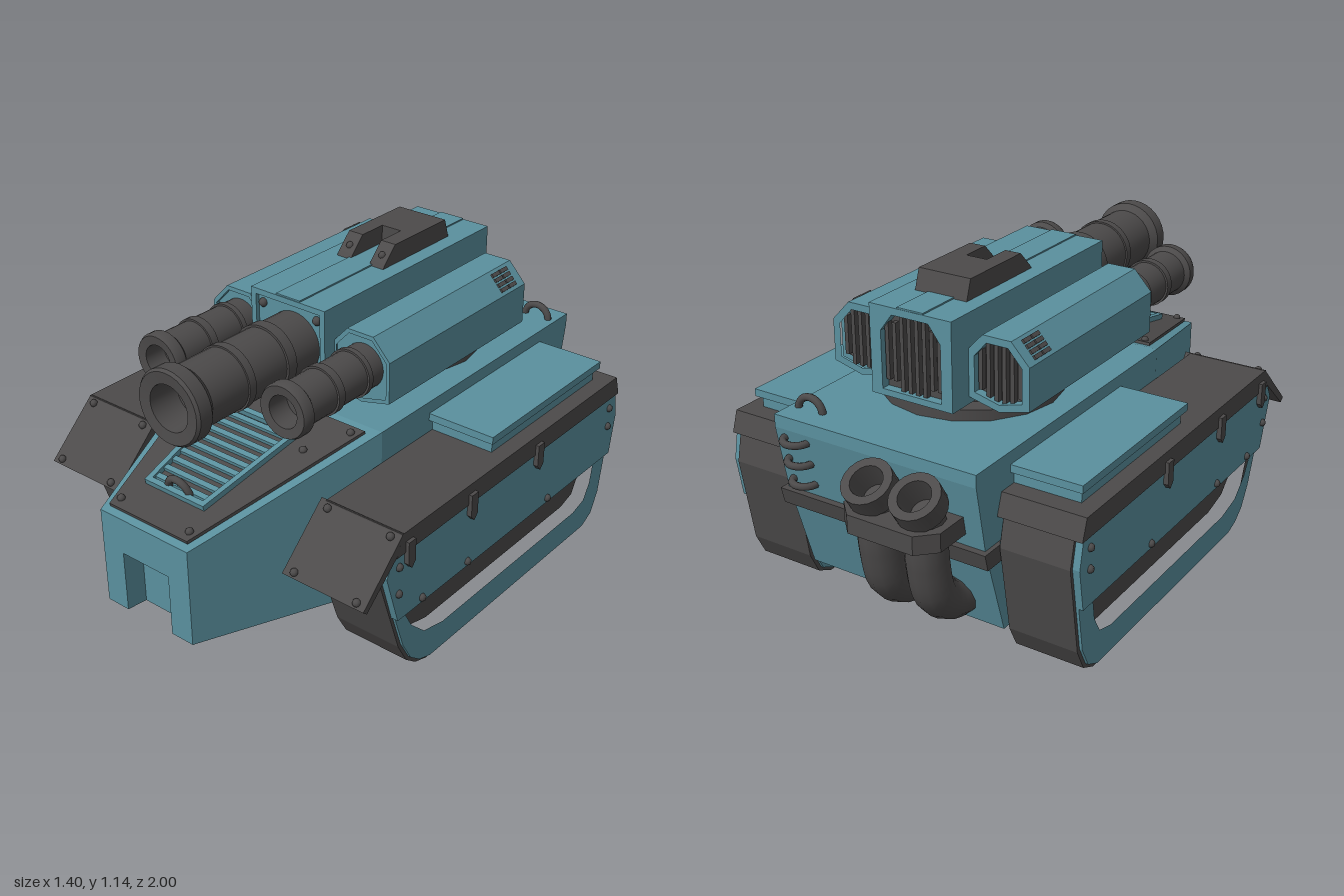
import * as THREE from 'three';
import { toCreasedNormals } from 'three/addons/utils/BufferGeometryUtils.js';

const BLUE = new THREE.MeshStandardMaterial({ color: 0x5a909e });
const DARK = new THREE.MeshStandardMaterial({ color: 0x4c4a4a });
const DARK2 = new THREE.MeshStandardMaterial({ color: 0x4c4a4a, side: THREE.DoubleSide });

const shapeOf = (pts, hole) => {
  const s = new THREE.Shape(pts.map(p => new THREE.Vector2(...p)));
  if (hole) s.holes.push(new THREE.Path(hole.map(p => new THREE.Vector2(...p))));
  return s;
};
const extrude = (pts, depth, hole) =>
  new THREE.ExtrudeGeometry(shapeOf(pts, hole), { depth, bevelEnabled: false });
// (z, y) profile extruded across x, centred on x = 0
const side = (pts, w, hole) => extrude(pts, w, hole).rotateY(-Math.PI / 2).translate(w / 2, 0, 0);
// (x, z) outline raised from y = 0 to y = h
const slab = (pts, h, hole) => extrude(pts, h, hole).rotateX(Math.PI / 2).translate(0, h, 0);
// symmetric trapezoid outline
const trap = (a, za, b, zb) => [[-a, za], [a, za], [b, zb], [-b, zb]];

function add(parent, name, geo, mat, x = 0, y = 0, z = 0) {
  const m = new THREE.Mesh(geo, mat);
  m.name = name;
  m.position.set(x, y, z);
  parent.add(m);
  return m;
}
const box = (parent, name, mat, w, h, d, x, y, z) =>
  add(parent, name, new THREE.BoxGeometry(w, h, d), mat, x, y, z);
const bolt = (parent, x, y, z, r = 0.014) =>
  add(parent, 'bolt', new THREE.SphereGeometry(r, 8, 6), DARK, x, y, z);
const hook = (parent, x, y, z, r = 0.045) =>
  add(parent, 'hook', new THREE.TorusGeometry(r, 0.013, 8, 12, Math.PI), DARK, x, y, z);
const inset = (pts, cx, cy, kx, ky) => pts.map(([x, y]) => [cx + (x - cx) * kx, cy + (y - cy) * ky]);

function hull(g) {
  // rear body, tapered front and notched nose
  add(g, 'hullBody', side([[0.3, 0.1], [0.3, 0.715], [-0.835, 0.715], [-0.835, 0.67], [-0.79, 0.43], [-0.69, 0.1]], 0.78), BLUE);
  const front = side([[0.3, 0.1], [0.92, 0.18], [0.92, 0.559], [0.3, 0.715]], 2);
  let p = front.attributes.position;
  for (let i = 0; i < p.count; i++) p.setX(i, p.getX(i) * (p.getZ(i) > 0.6 ? 0.213 : 0.39));
  front.computeVertexNormals();
  add(g, 'hullFront', front, BLUE);
  const nose = extrude([[-0.19, 0.19], [-0.19, 0.54], [0.19, 0.54], [0.19, 0.19], [0.1, 0.19],
    [0.1, 0.41], [-0.1, 0.41], [-0.1, 0.19]], 0.08).translate(0, 0, 0.92);
  p = nose.attributes.position;
  for (let i = 0; i < p.count; i++) {
    if (p.getZ(i) > 0.95) continue;
    const x = p.getX(i), y = p.getY(i);
    if (Math.abs(x) > 0.15) p.setX(i, Math.sign(x) * 0.213);
    p.setY(i, y > 0.5 ? 0.559 : y < 0.2 ? 0.18 : y);
  }
  nose.computeVertexNormals();
  add(g, 'nose', nose, BLUE);
  add(g, 'rearBand', side([[-0.6, 0.375], [-0.6, 0.435], [-0.815, 0.435], [-0.8, 0.375]], 0.81), DARK);

  // sloped front plate with slatted grille
  const gl = new THREE.Group();
  gl.name = 'frontPlate';
  gl.position.set(0, 0.713, 0.3);
  gl.rotation.x = 0.238;
  g.add(gl);
  add(gl, 'plate', slab(trap(0.345, 0.03, 0.17, 0.695), 0.012), DARK);
  add(gl, 'grilleFrame', slab(trap(0.172, 0.14, 0.128, 0.57), 0.032, trap(0.15, 0.16, 0.11, 0.55)), BLUE);
  for (let i = 0; i < 9; i++) {
    const t = (i + 0.5) / 9;
    box(gl, 'grilleSlat', BLUE, 0.3 - 0.08 * t, 0.014, 0.02, 0, 0.018, 0.16 + 0.39 * t);
  }
  hook(gl, 0, 0.02, 0.545);
  for (const s of [-1, 1]) {
    bolt(gl, s * 0.15, 0.014, 0.66);
    bolt(gl, s * 0.225, 0.014, 0.2);
    bolt(gl, s * 0.31, 0.014, 0.06);
  }
  // lifting hook and climbing rungs at the back
  hook(g, 0.31, 0.71, -0.75, 0.05);
  [[0.64, -0.825], [0.56, -0.81], [0.48, -0.795]].forEach(([y, z]) => {
    hook(g, 0.31, y, z).rotation.x = -Math.PI / 2;
  });
}

function trackUnit(g, s) {
  const u = new THREE.Group();
  u.name = s > 0 ? 'leftTrack' : 'rightTrack';
  g.add(u);
  const prof = [[0.4, 0], [-0.59, 0], [-0.65, 0.03], [-0.69, 0.11], [-0.742, 0.43], [-0.72, 0.53],
    [0.62, 0.53], [0.663, 0.47], [0.65, 0.42], [0.555, 0.14], [0.51, 0.06], [0.46, 0.02]];
  const opening = [[0.545, 0.28], [0.5, 0.2], [0.43, 0.135], [0.326, 0.11], [-0.5, 0.11], [-0.57, 0.13],
    [-0.605, 0.19], [-0.62, 0.28]];
  const cz = -0.04, cy = 0.265;
  add(u, 'tread', side(prof, 0.25, inset(prof, cz, cy, 0.9, 0.9)), DARK, s * 0.535);
  add(u, 'trackFrame', side(inset(prof, cz, cy, 0.98, 0.96), 0.27, opening), BLUE, s * 0.535);
  add(u, 'wheelWell', side(inset(opening, cz, 0.2, 1.03, 1.06), 0.2), DARK, s * 0.51);
  add(u, 'skirt', side([[0.655, 0.47], [0.62, 0.53], [-0.71, 0.53], [-0.73, 0.43], [-0.705, 0.28], [0.595, 0.28]], 0.025), BLUE, s * 0.673);

  // fender, front flap and stowage box
  add(u, 'fender', side([[0.585, 0.6], [-0.7, 0.6], [-0.725, 0.525], [0.61, 0.525]], 0.3), DARK, s * 0.54);
  add(u, 'flap', side([[0.58, 0.602], [0.775, 0.42], [0.757, 0.405], [0.56, 0.575]], 0.32), DARK, s * 0.53);
  for (const x of [0.41, 0.655])
    for (const [y, z] of [[0.587, 0.6], [0.435, 0.763]]) bolt(u, s * x, y, z);
  box(u, 'stowageBox', BLUE, 0.24, 0.06, 0.65, s * 0.51, 0.62, -0.305);
  box(u, 'stowageLid', BLUE, 0.255, 0.027, 0.69, s * 0.5175, 0.657, -0.305);

  // clamps and bolts along the side
  for (const z of [0.55, 0.215, -0.18])
    add(u, 'clamp', side([[-0.018, 0.05], [0.018, 0.05], [0.018, -0.03], [0, -0.05], [-0.018, -0.03]], 0.025), DARK, s * 0.69, 0.515, z);
  for (const [z, y] of [[0.595, 0.485], [0.595, 0.385], [0.47, 0.3], [0.22, 0.3], [-0.27, 0.3], [-0.67, 0.485], [-0.67, 0.41]])
    bolt(u, s * 0.687, y, z);
}

function barrel(g, name, x, y, pts) {
  const geo = toCreasedNormals(new THREE.LatheGeometry(pts.map(p => new THREE.Vector2(...p)), 32), 0.6);
  add(g, name, geo.rotateX(Math.PI / 2), DARK2, x, y, 0);
}

// recessed frame with upright slats; z is the frame's rear face
function vent(g, outer, hole, z, n) {
  add(g, 'ventFrame', extrude(outer, 0.04, hole), BLUE, 0, 0, z);
  const xs = hole.map(p => p[0]), ys = hole.map(p => p[1]);
  const x0 = Math.min(...xs), x1 = Math.max(...xs), y0 = Math.min(...ys), y1 = Math.max(...ys);
  add(g, 'ventBack', extrude(hole, 0.01), DARK, 0, 0, z + 0.032);
  for (let i = 0; i < n; i++) {
    const x = x0 + (x1 - x0) * (i + 0.5) / n;
    const edge = Math.abs(2 * (i + 0.5) / n - 1) > 0.6 ? 0.03 : 0;
    box(g, 'ventSlat', DARK, (x1 - x0) / n * 0.5, y1 - y0 - edge * 2, 0.022, x, (y0 + y1) / 2, z + 0.024);
  }
}

function turret(g) {
  const t = new THREE.Group();
  t.name = 'turret';
  g.add(t);
  add(t, 'turretRing', new THREE.CylinderGeometry(0.315, 0.315, 0.04, 16), DARK, 0, 0.733, -0.28);
  add(t, 'turretNeck', new THREE.CylinderGeometry(0.25, 0.25, 0.05, 16), DARK, 0, 0.76, -0.28);

  // central housing
  const rect = [[-0.157, 0.768], [0.157, 0.768], [0.157, 1.075], [-0.157, 1.075]];
  add(t, 'housing', extrude(rect, 0.87), BLUE, 0, 0, -0.58);
  add(t, 'housingFrontFrame', extrude(rect, 0.015, inset(rect, 0, 0.92, 0.87, 0.87)), BLUE, 0, 0, 0.29);
  vent(t, rect, [[-0.115, 0.79], [0.115, 0.79], [0.115, 0.99], [0.07, 1.05], [-0.07, 1.05], [-0.115, 0.99]], -0.62, 8);
  box(t, 'roofStrip', BLUE, 0.1, 0.02, 0.92, 0, 1.07, -0.158);
  for (const s of [-1, 1]) bolt(t, s * 0.115, 1.025, 0.293, 0.016);

  // roof hatch with a forward slot
  const prof = [[-0.07, 1.07], [-0.085, 1.09], [-0.14, 1.145], [-0.43, 1.145], [-0.455, 1.07]];
  for (const s of [-1, 1]) {
    add(t, 'hatchArm', side(prof, 0.06), DARK, s * 0.07);
    bolt(t, s * 0.07, 1.108, -0.108);
  }
  add(t, 'hatchBlock', side([[-0.25, 1.07], [-0.25, 1.145], [-0.43, 1.145], [-0.455, 1.07]], 0.082), DARK);

  barrel(t, 'mainBarrel', 0.015, 0.92, [[0.108, 0.27], [0.108, 0.41], [0.116, 0.41], [0.116, 0.45], [0.108, 0.45],
    [0.108, 0.6], [0.114, 0.6], [0.114, 0.63], [0.108, 0.63], [0.108, 0.79], [0.13, 0.815], [0.13, 0.865],
    [0.122, 0.875], [0.08, 0.87], [0.074, 0.76], [0, 0.76]]);

  // side pods
  for (const s of [-1, 1]) {
    const pod = [[0.15, 0.95], [0.21, 1.015], [0.315, 1.015], [0.382, 0.943], [0.382, 0.795], [0.27, 0.767], [0.15, 0.795]]
      .map(([x, y]) => [s * x, y]);
    const hole = inset(pod, s * 0.268, 0.89, 0.76, 0.8);
    add(t, 'pod', extrude(pod, 0.73), BLUE, 0, 0, -0.49);
    add(t, 'podFrontFrame', extrude(pod, 0.015, inset(pod, s * 0.268, 0.89, 0.88, 0.88)), BLUE, 0, 0, 0.24);
    vent(t, pod, hole, -0.53, 6);
    barrel(t, 'sideBarrel', s * 0.268, 0.895, [[0.078, 0.23], [0.078, 0.3], [0.085, 0.3], [0.085, 0.32], [0.078, 0.32],
      [0.078, 0.44], [0.085, 0.44], [0.085, 0.47], [0.078, 0.47], [0.078, 0.585], [0.094, 0.6], [0.094, 0.63],
      [0.088, 0.642], [0.056, 0.638], [0.052, 0.56], [0, 0.56]]);
    // small louvres on the sloped shoulder
    for (let i = 0; i < 4; i++)
      for (const z of [-0.465, -0.417]) {
        const k = (i - 1.5) * 0.02;
        box(t, 'louvre', DARK, 0.014, 0.012, 0.042, s * (0.349 + k * 0.67), 0.98 - k * 0.74, z).rotation.z = -s * 0.83;
      }
  }
}

function exhausts(g) {
  const e = new THREE.Group();
  e.name = 'exhausts';
  g.add(e);
  add(e, 'bracket', slab([[-0.325, -0.78], [0.04, -0.78], [0.04, -0.93], [-0.02, -0.99], [-0.265, -0.99], [-0.325, -0.93]], 0.065), DARK, 0, 0.48);
  const collar = toCreasedNormals(new THREE.LatheGeometry([[0.065, -0.06], [0.085, -0.04], [0.085, 0.03],
    [0.055, 0.03], [0.045, -0.06], [0, -0.06]].map(p => new THREE.Vector2(...p)), 20), 0.6);
  for (const x of [-0.23, -0.05]) {
    const path = new THREE.CatmullRomCurve3([[0.59, -0.9], [0.53, -0.88], [0.4, -0.872], [0.27, -0.84], [0.2, -0.76], [0.18, -0.66]]
      .map(([y, z]) => new THREE.Vector3(x, y, z)));
    add(e, 'pipe', new THREE.TubeGeometry(path, 16, 0.07, 12), DARK2);
    add(e, 'pipeCollar', collar, DARK2, x, 0.615, -0.91).rotation.x = -0.56;
  }
}

export function createModel() {
  const g = new THREE.Group();
  g.name = 'tank';
  hull(g);
  for (const s of [-1, 1]) trackUnit(g, s);
  turret(g);
  exhausts(g);
  return g;
}
